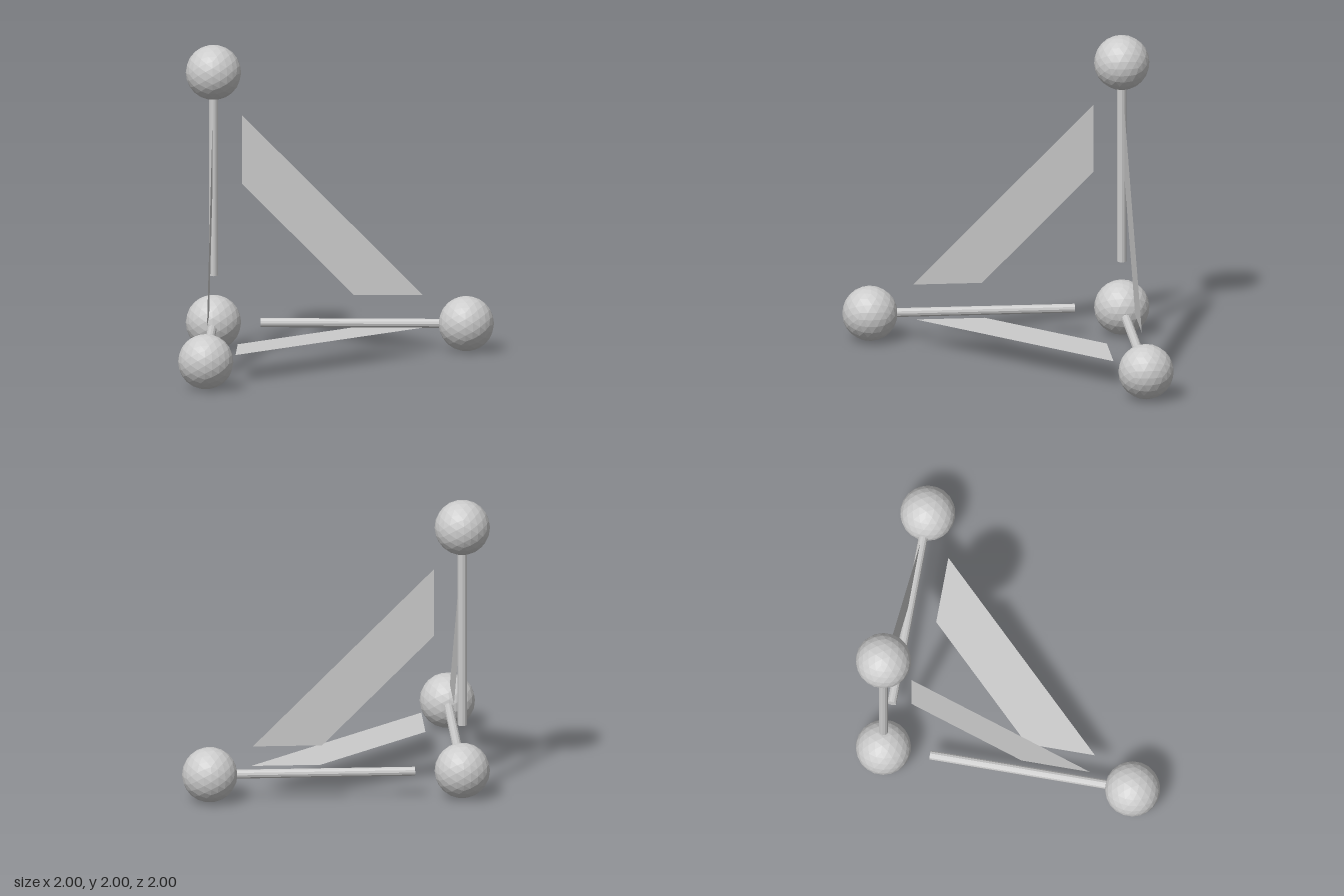
import * as THREE from 'three';

export function createModel() {
  const model = new THREE.Group();
  model.name = 'axisGizmo';
  model.position.set(-0.82, 0.18, -0.82); // corner where the three axes meet

  const material = new THREE.MeshStandardMaterial({ color: 0xcccccc, flatShading: true });
  const panelMaterial = new THREE.MeshStandardMaterial({ color: 0xcccccc, side: THREE.DoubleSide });

  const ballGeometry = new THREE.IcosahedronGeometry(0.18, 3);
  const rodStart = 0.307, rodEnd = 1.48;
  const rodGeometry = new THREE.CylinderGeometry(0.03, 0.03, rodEnd - rodStart, 12);

  // slanted strip lying between two axes
  const near = 0.185, inner = 0.91, outer = 1.36;
  const panelGeometry = new THREE.ShapeGeometry(new THREE.Shape([
    new THREE.Vector2(near, inner),
    new THREE.Vector2(inner, near),
    new THREE.Vector2(outer, near),
    new THREE.Vector2(near, outer),
  ]));

  const addMesh = (parent, name, geometry, mat, y = 0) => {
    const mesh = new THREE.Mesh(geometry, mat);
    mesh.name = name;
    mesh.position.y = y;
    parent.add(mesh);
  };

  addMesh(model, 'cornerBall', ballGeometry, material);

  // one arm with its panel, turned about the space diagonal onto each axis
  const diagonal = new THREE.Vector3(1, 1, 1).normalize();
  ['vertical', 'forward', 'sideways'].forEach((name, i) => {
    const arm = new THREE.Group();
    arm.name = `${name}Arm`;
    arm.setRotationFromAxisAngle(diagonal, (i * Math.PI * 2) / 3);
    addMesh(arm, `${name}Rod`, rodGeometry, material, (rodStart + rodEnd) / 2);
    addMesh(arm, `${name}EndBall`, ballGeometry, material, 1.64);
    addMesh(arm, `${name}Panel`, panelGeometry, panelMaterial);
    model.add(arm);
  });

  const root = new THREE.Group();
  root.name = 'model';
  root.add(model);
  return root;
}
